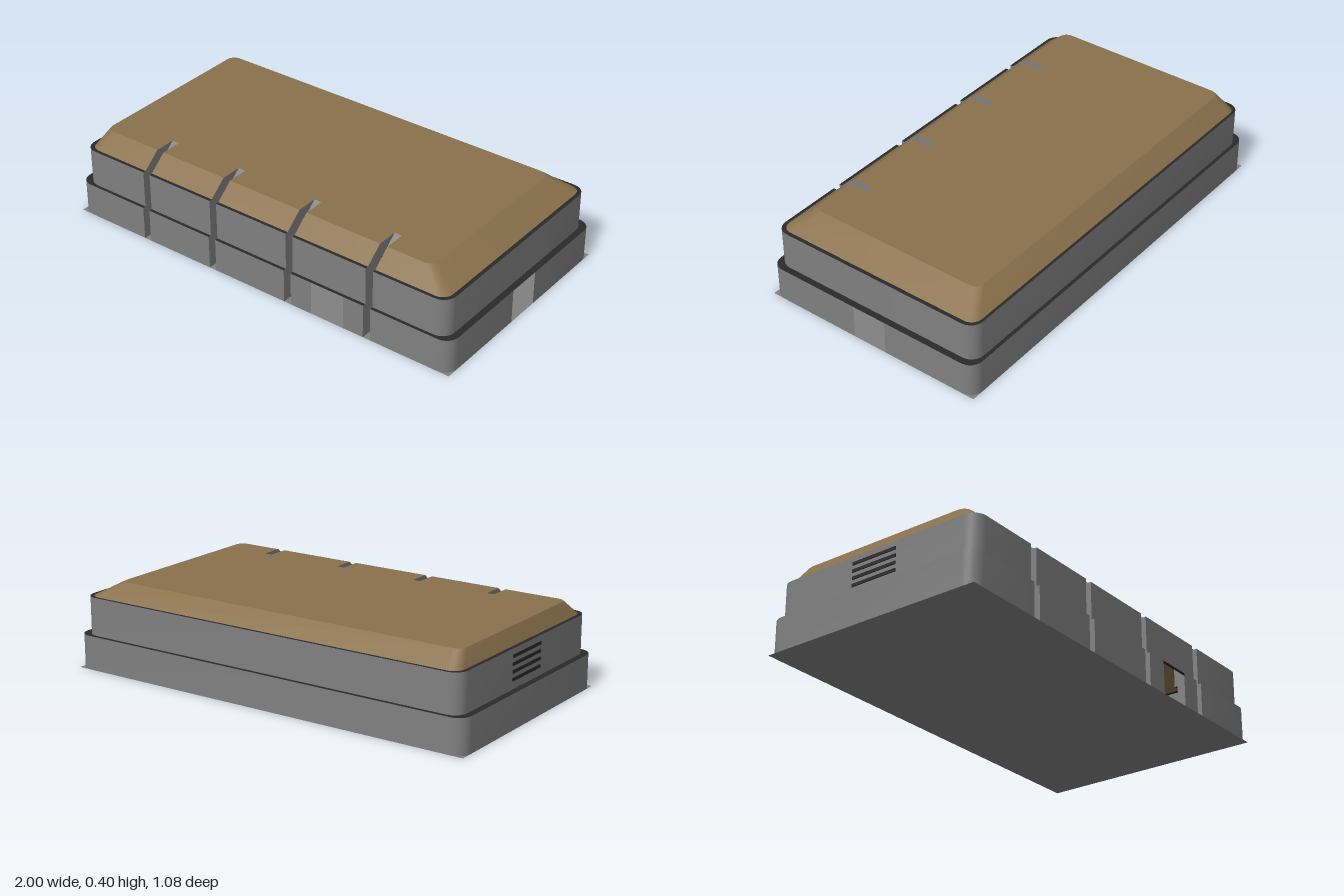
import * as THREE from 'three';
import { toCreasedNormals } from 'three/addons/utils/BufferGeometryUtils.js';

const mat = (name, color) => {
  const m = new THREE.MeshStandardMaterial({ color, side: THREE.DoubleSide });
  m.name = name;
  return m;
};

// Slots run the full height of the front; doorways open the lower wall
const SLOTS = [-0.603, -0.226, 0.184, 0.594];
const SLOT_HALF = 0.018, SLOT_DEPTH = 0.1;
const FRONT_DOOR = [0.31, 0.475], SIDE_DOOR = 0.083;

// Rounded outline at one height; each point's tag describes the edge after it
function outline(y, x0, x1, z0, z1, r) {
  const pts = [];
  const add = (x, z, tag = 'wall') => pts.push({ x, y, z, tag });
  const corner = (cx, cz, start) => {
    for (let i = 0; i <= 6; i++) {
      const a = start + (i / 6) * Math.PI / 2;
      add(cx + r * Math.cos(a), cz - r * Math.sin(a));
    }
  };
  corner(x0 + r, z1 - r, Math.PI);
  SLOTS.forEach((s, i) => {
    if (i === 3) {
      add(FRONT_DOOR[0], z1, 'door');
      add(FRONT_DOOR[1], z1);
    }
    add(s - SLOT_HALF, z1, 'slotSide');
    add(s - SLOT_HALF, z1 - SLOT_DEPTH, 'slotBack');
    add(s + SLOT_HALF, z1 - SLOT_DEPTH, 'slotSide');
    add(s + SLOT_HALF, z1);
  });
  corner(x1 - r, z1 - r, -Math.PI / 2);
  add(x1, SIDE_DOOR, 'door');
  add(x1, -SIDE_DOOR);
  corner(x1 - r, z0 + r, 0);
  corner(x0 + r, z0 + r, Math.PI / 2);
  return pts;
}

// Join two outlines with quads along the accepted edges
function loft(lower, upper, accept) {
  const pos = [];
  lower.forEach((a, i) => {
    if (!accept(a.tag)) return;
    const j = (i + 1) % lower.length;
    const b = lower[j], c = upper[j], d = upper[i];
    for (const p of [a, b, c, a, c, d]) pos.push(p.x, p.y, p.z);
  });
  const g = new THREE.BufferGeometry();
  g.setAttribute('position', new THREE.Float32BufferAttribute(pos, 3));
  return toCreasedNormals(g, 0.5);
}

export function createModel() {
  const model = new THREE.Group();
  model.name = 'building';
  const concrete = mat('concrete grey', 0x808080);
  const trim = mat('dark trim', 0x2a2a2a);
  const brown = mat('roof brown', 0x89714b);

  const add = (name, geometry, material) => {
    const m = new THREE.Mesh(geometry, material);
    m.name = name;
    model.add(m);
    return m;
  };

  const base0 = outline(0, -1, 1, -0.54, 0.54, 0.06);
  const base1 = outline(0.157, -1, 1, -0.54, 0.54, 0.06);
  const tier0 = outline(0.157, -0.97, 0.97, -0.523, 0.525, 0.06);
  const tier1 = outline(0.332, -0.97, 0.97, -0.523, 0.525, 0.06);
  const roof0 = outline(0.332, -0.952, 0.952, -0.51, 0.51, 0.05);
  const roof1 = outline(0.4, -0.92, 0.832, -0.435, 0.43, 0.04);

  // Walls and the ledges between them
  const notSide = t => t !== 'slotSide';
  add('lowerWall', loft(base0, base1, t => t !== 'door'), concrete);
  add('lowerLedge', loft(base1, tier0, notSide), trim);
  add('upperWall', loft(tier0, tier1, () => true), concrete);
  add('upperLedge', loft(tier1, roof0, notSide), trim);

  // Sloped roof, with grey linings where the slots cut it
  const isSlot = t => t.startsWith('slot');
  add('roofSlopes', loft(roof0, roof1, t => !isSlot(t)), brown);
  add('roofSlotLinings', loft(roof0, roof1, isSlot), concrete);
  const top = new THREE.Shape(roof1.map(p => new THREE.Vector2(p.x, -p.z)));
  add('roofTop', new THREE.ShapeGeometry(top).rotateX(-Math.PI / 2).translate(0, 0.4, 0), brown);

  // Square-cornered floor
  add('floor', new THREE.PlaneGeometry(2, 1.08).rotateX(-Math.PI / 2), concrete);

  // Vent slats on the right-hand end wall
  for (let i = 0; i < 4; i++) {
    add('ventSlat', new THREE.BoxGeometry(0.006, 0.014, 0.23), trim)
      .position.set(-0.971, 0.2 + i * 0.033, 0);
  }

  return model;
}
